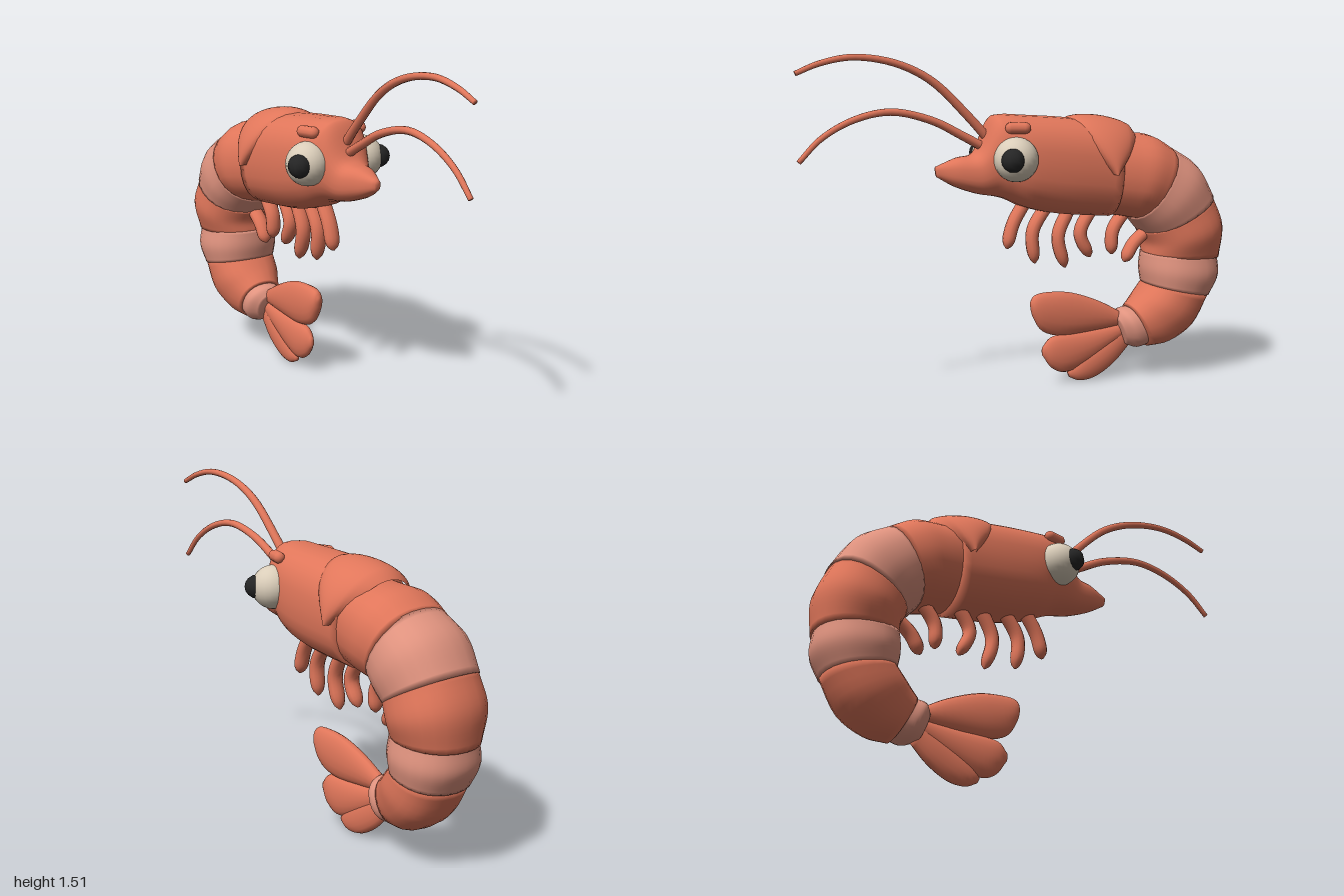
import * as THREE from 'three';

const paint = (name, color) => {
  const m = new THREE.MeshStandardMaterial({ color });
  m.name = name;
  return m;
};

// Closed skin over sections [topZ, topY, bottomZ, bottomY, halfWidth], smoothed along the length.
function loft(sections, steps, sides = 24, power = 0.9) {
  const curve = (f) => new THREE.CatmullRomCurve3(sections.map(f), false, 'catmullrom', 0.5);
  const top = curve((s) => new THREE.Vector3(s[4], s[1], s[0]));
  const bottom = curve((s) => new THREE.Vector3(s[4], s[3], s[2]));
  const pos = [], index = [];
  const soft = (v) => Math.sign(v) * Math.pow(Math.abs(v), power);
  for (let i = 0; i <= steps; i++) {
    const a = top.getPoint(i / steps), b = bottom.getPoint(i / steps);
    for (let j = 0; j < sides; j++) {
      const t = (j / sides) * Math.PI * 2, k = soft(Math.sin(t)) / 2;
      pos.push(a.x * soft(Math.cos(t)), (a.y + b.y) / 2 + (a.y - b.y) * k, (a.z + b.z) / 2 + (a.z - b.z) * k);
      if (i < steps) {
        const p = i * sides + j, q = i * sides + ((j + 1) % sides);
        index.push(p, p + sides, q, q, p + sides, q + sides);
      }
    }
  }
  // end caps
  for (const i of [0, steps]) {
    const a = top.getPoint(i / steps), b = bottom.getPoint(i / steps), c = pos.length / 3;
    pos.push(0, (a.y + b.y) / 2, (a.z + b.z) / 2);
    for (let j = 0; j < sides; j++) {
      const p = i * sides + j, q = i * sides + ((j + 1) % sides);
      if (i === 0) index.push(c, p, q); else index.push(c, q, p);
    }
  }
  const g = new THREE.BufferGeometry();
  g.setAttribute('position', new THREE.Float32BufferAttribute(pos, 3));
  g.setIndex(index);
  g.computeVertexNormals();
  return g;
}

// Tapered limb in the centre plane: path of [z, y], radius by t, width ratio across x.
function limb(path, radius, ratio, steps, sides) {
  const c = new THREE.CatmullRomCurve3(path.map(([z, y]) => new THREE.Vector3(0, y, z)));
  const sections = [];
  for (let i = 0; i <= steps; i++) {
    const t = i / steps, p = c.getPoint(t), d = c.getTangent(t), r = radius(t);
    sections.push([p.z + d.y * r, p.y - d.z * r, p.z - d.y * r, p.y + d.z * r, r * ratio]);
  }
  return loft(sections, steps, sides, 1);
}

// Raised collar draped over the back, narrowing to a point on each side.
function collarGeometry() {
  const nu = 32, nv = 12, pos = [], index = [];
  for (let i = 0; i <= nu; i++) {
    const u = (i / nu) * 2 - 1, a = u * 1.62;
    const half = 0.15 * (1 - Math.pow(Math.abs(u), 2.2)) + 0.012;
    for (let j = 0; j <= nv; j++) {
      const v = (j / nv) * 2 - 1, lift = -0.02 + 0.05 * Math.sqrt(1 - v * v);
      const z = -0.365 - v * half;
      pos.push((0.195 + lift) * Math.sin(a), 0.995 + (z + 0.36) * 0.14 + (0.215 + lift * 0.9) * Math.cos(a), z);
      if (i < nu && j < nv) {
        const p = i * (nv + 1) + j, q = p + nv + 1;
        index.push(p, q, p + 1, q, q + 1, p + 1);
      }
    }
  }
  const g = new THREE.BufferGeometry();
  g.setAttribute('position', new THREE.Float32BufferAttribute(pos, 3));
  g.setIndex(index);
  g.computeVertexNormals();
  return g;
}

export function createModel() {
  const model = new THREE.Group();
  model.name = 'shrimp';
  const shell = paint('coral shell', 0xe0765a);
  const pale = paint('pale band', 0xe0937f);
  const white = paint('eye cream', 0xdacdb9);
  const black = paint('pupil black', 0x252525);
  const add = (name, geometry, material) => {
    const m = new THREE.Mesh(geometry, material);
    m.name = name;
    model.add(m);
    return m;
  };

  // Head and carapace, from snout to back
  add('carapace', loft([
    [0.405, 1.03, 0.4, 0.985, 0.015],
    [0.31, 1.065, 0.32, 0.94, 0.06],
    [0.22, 1.09, 0.22, 0.905, 0.095],
    [0.155, 1.225, 0.14, 0.89, 0.125],
    [0.11, 1.25, 0.09, 0.875, 0.145],
    [0.0, 1.245, 0.0, 0.835, 0.175],
    [-0.2, 1.23, -0.15, 0.8, 0.19],
    [-0.42, 1.2, -0.4, 0.775, 0.195],
  ], 42, 28, 0.82), shell);
  const collarMaterial = shell;
  add('collar', collarGeometry(), collarMaterial);

  // Curled abdomen, alternating coral and pale
  [
    [[-0.38, 1.17, -0.36, 0.79, 0.18], [-0.5, 1.155, -0.45, 0.775, 0.205],
      [-0.62, 1.14, -0.5, 0.765, 0.218], [-0.735, 1.075, -0.55, 0.755, 0.205]],
    [[-0.72, 1.085, -0.54, 0.755, 0.205], [-0.85, 1.0, -0.575, 0.715, 0.217], [-0.94, 0.86, -0.605, 0.68, 0.203]],
    [[-0.93, 0.87, -0.6, 0.685, 0.2], [-0.99, 0.72, -0.625, 0.63, 0.208], [-0.985, 0.56, -0.625, 0.58, 0.175]],
    [[-0.975, 0.57, -0.62, 0.585, 0.172], [-0.98, 0.47, -0.615, 0.51, 0.185], [-0.935, 0.375, -0.625, 0.44, 0.168]],
    [[-0.935, 0.385, -0.63, 0.445, 0.165], [-0.85, 0.235, -0.59, 0.4, 0.16],
      [-0.73, 0.155, -0.56, 0.37, 0.132], [-0.625, 0.14, -0.53, 0.34, 0.105]],
    [[-0.63, 0.155, -0.535, 0.335, 0.1], [-0.57, 0.14, -0.49, 0.325, 0.1], [-0.51, 0.16, -0.465, 0.29, 0.06]],
  ].forEach((s, i) => add('abdomenSegment' + (i + 1), loft(s, 12), i % 2 ? pale : shell));

  // Tail fan lobes: lower outline first, then upper
  [
    ['upperTailLobe', [[-0.5, 0.25, -0.5, 0.31, 0.025], [-0.36, 0.235, -0.38, 0.375, 0.035],
      [-0.2, 0.225, -0.24, 0.425, 0.04], [-0.1, 0.255, -0.12, 0.436, 0.038],
      [-0.055, 0.32, -0.06, 0.425, 0.028], [-0.04, 0.375, -0.04, 0.395, 0.008]]],
    ['middleTailLobe', [[-0.52, 0.2, -0.5, 0.26, 0.025], [-0.36, 0.105, -0.34, 0.242, 0.035],
      [-0.23, 0.052, -0.21, 0.235, 0.038], [-0.15, 0.075, -0.14, 0.222, 0.03], [-0.1, 0.14, -0.1, 0.18, 0.01]]],
    ['lowerTailLobe', [[-0.54, 0.15, -0.49, 0.24, 0.025], [-0.46, 0.07, -0.4, 0.19, 0.033],
      [-0.37, 0.015, -0.3, 0.13, 0.033], [-0.29, 0.003, -0.25, 0.08, 0.025], [-0.235, 0.025, -0.225, 0.05, 0.008]]],
  ].forEach(([name, s]) => add(name, loft(s, 20, 16, 1), shell));

  // Legs along the middle of the belly
  const legRadius = (t) => 0.029 * Math.sqrt(Math.max(0.03, 1 - Math.pow(Math.max(0, t - 0.75) / 0.25, 2)));
  [
    [[-0.02, 0.87], [0.045, 0.76], [0.075, 0.65]],
    [[-0.12, 0.84], [-0.05, 0.72], [-0.06, 0.575]],
    [[-0.23, 0.82], [-0.175, 0.69], [-0.21, 0.545]],
    [[-0.34, 0.81], [-0.285, 0.7], [-0.335, 0.585]],
    [[-0.51, 0.79], [-0.45, 0.7], [-0.445, 0.59]],
    [[-0.64, 0.7], [-0.56, 0.635], [-0.51, 0.55]],
  ].forEach((p, i) => add('leg' + (i + 1), limb(p, legRadius, 1.25, 16, 12), shell));

  // Two long feelers, one above the other
  const feelerRadius = (t) => 0.021 - 0.01 * t;
  add('upperFeeler', limb([[0.15, 1.13], [0.25, 1.24], [0.42, 1.4], [0.58, 1.475], [0.76, 1.5], [0.9, 1.475], [1, 1.435]],
    feelerRadius, 1.05, 32, 10), shell);
  add('lowerFeeler', limb([[0.17, 1.1], [0.28, 1.16], [0.42, 1.23], [0.6, 1.27], [0.76, 1.24], [0.9, 1.165], [0.995, 1.07]],
    feelerRadius, 1.05, 32, 10), shell);

  // Eyes, pupils and brows on both sides
  for (const [side, s] of [['left', 1], ['right', -1]]) {
    add(side + 'Eye', new THREE.SphereGeometry(0.097, 24, 16), white).position.set(0.14 * s, 1.062, 0.085);
    const pupil = add(side + 'Pupil', new THREE.SphereGeometry(0.052, 10, 8), black);
    pupil.position.set(0.204 * s, 1.065, 0.123);
    const brow = add(side + 'Brow', new THREE.CapsuleGeometry(0.026, 0.06, 4, 10), shell);
    brow.position.set(0.13 * s, 1.197, 0.072);
    brow.rotation.set(Math.PI / 2, 0, 0.3 * s);
  }
  return model;
}
